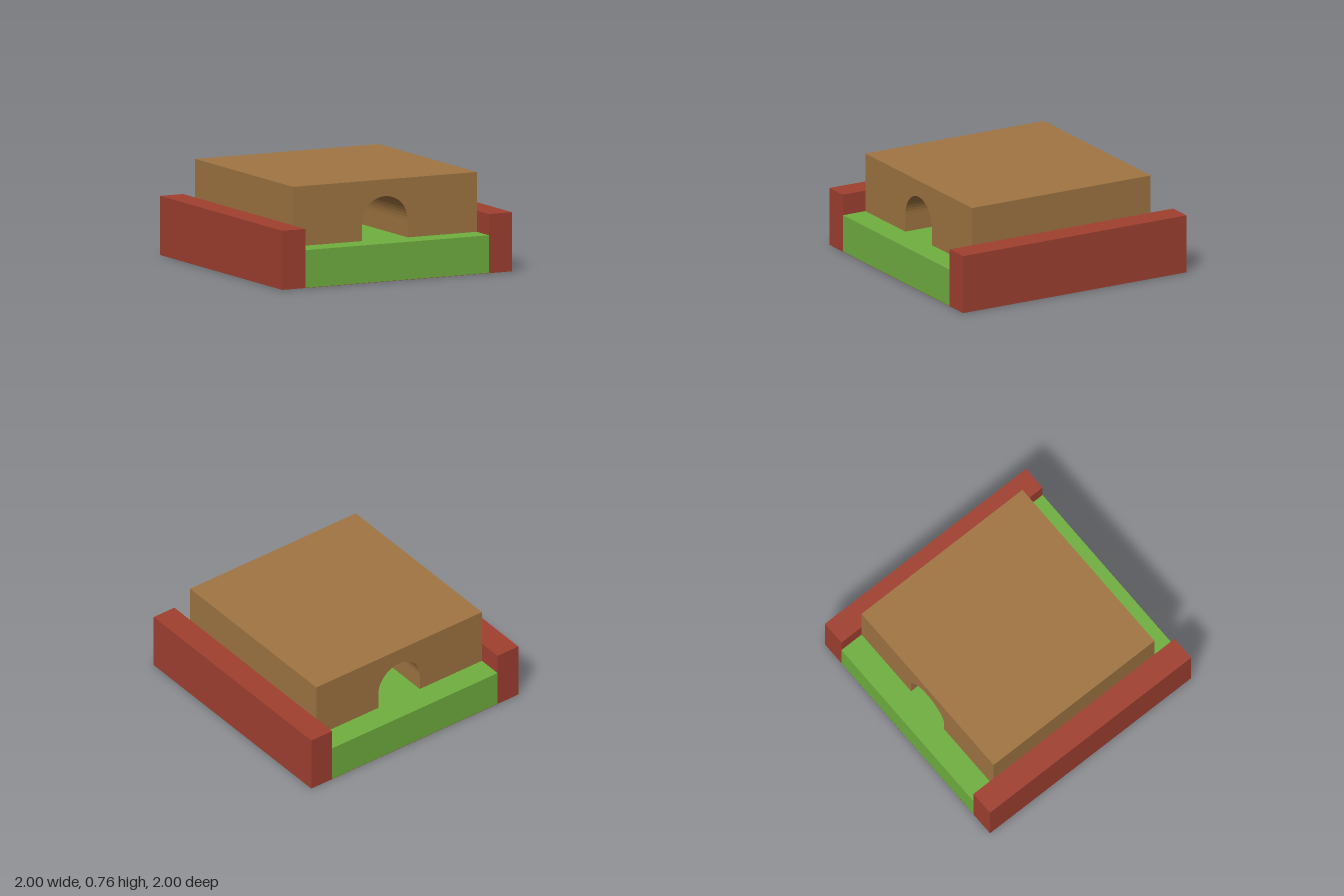
import * as THREE from 'three';

const material = (color) => new THREE.MeshStandardMaterial({ color, flatShading: true });

export function createModel() {
  const model = new THREE.Group();
  model.name = 'tunnelTile';
  const red = material(0xa04030);
  const green = material(0x70b040);
  const brown = material(0xa07542);

  const grassTop = 0.295, sole = 0.002;
  const wallHeight = 0.46, blockTop = 0.76;
  const springY = 0.43, radius = 0.2, half = 0.8;

  const add = (name, geometry, mat, x, y, z) => {
    const mesh = new THREE.Mesh(geometry, mat);
    mesh.name = name;
    mesh.position.set(x, y, z);
    model.add(mesh);
  };

  // Red side walls, mirrored
  for (const [name, side] of [['leftWall', 1], ['rightWall', -1]]) {
    add(name, new THREE.BoxGeometry(0.2, wallHeight, 2), red, side * 0.9, wallHeight / 2, 0);
  }

  // Thin red underside joining the walls
  add('underside', new THREE.BoxGeometry(2 * half, sole, 2), red, 0, sole / 2, 0);

  // Grass bed between the walls
  const grassHeight = grassTop - sole;
  add('grassBed', new THREE.BoxGeometry(2 * half, grassHeight, 2), green, 0, sole + grassHeight / 2, 0);

  // Earth block with an arched tunnel running front to back
  const profile = new THREE.Shape();
  profile.moveTo(-half, grassTop);
  profile.lineTo(-radius, grassTop);
  profile.lineTo(-radius, springY);
  profile.absarc(0, springY, radius, Math.PI, 0, true);
  profile.lineTo(radius, grassTop);
  profile.lineTo(half, grassTop);
  profile.lineTo(half, blockTop);
  profile.lineTo(-half, blockTop);
  profile.closePath();
  const block = new THREE.ExtrudeGeometry(profile, { depth: 2 * half, bevelEnabled: false, curveSegments: 12 });
  add('tunnelBlock', block, brown, 0, 0, -half);

  return model;
}
